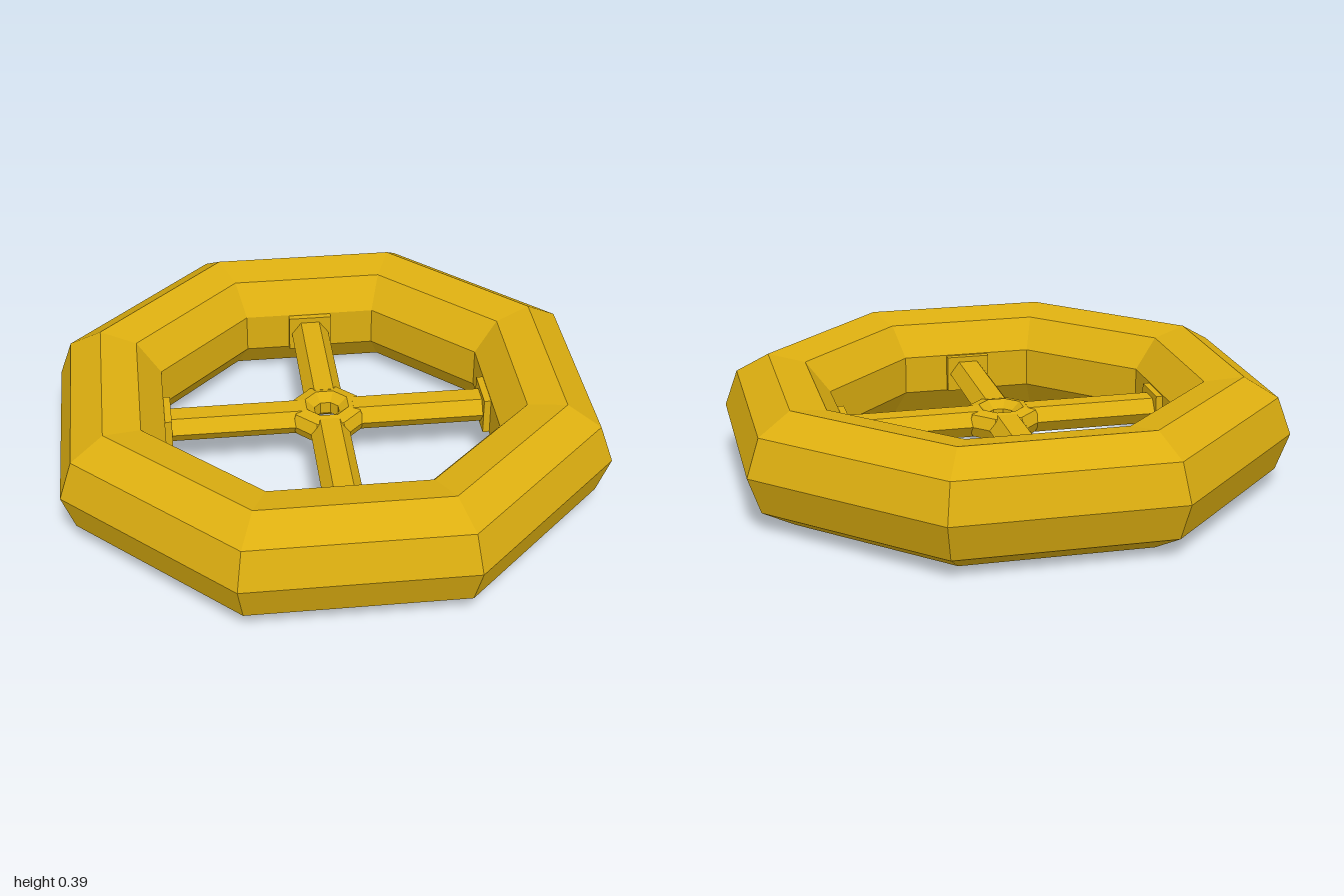
import * as THREE from 'three';

export function createModel() {
  const model = new THREE.Group();
  model.name = 'handwheel';
  const paint = new THREE.MeshStandardMaterial({ color: 0xdcae10, flatShading: true });
  paint.name = 'yellow paint';
  const midY = 0.197;

  const add = (parent, geometry, name) => {
    const mesh = new THREE.Mesh(geometry, paint);
    mesh.name = name;
    parent.add(mesh);
    return mesh;
  };

  // Faceted ring lying flat, with its first corner on the x axis
  const ring = (radius, tube, sides, name) => {
    const geometry = new THREE.TorusGeometry(radius, tube, sides, 8).rotateX(Math.PI / 2);
    add(model, geometry, name).position.y = midY;
  };
  ring(0.8, 0.2, 9, 'rim');
  ring(0.09, 0.05, 7, 'hub');

  // Flattened six-sided spokes, each with a foot against the rim
  const inner = 0.09, outer = 0.62;
  const spokeGeometry = new THREE.CylinderGeometry(0.068, 0.068, outer - inner, 6)
    .rotateZ(-Math.PI / 2)
    .scale(1, 0.77, 1)
    .translate((inner + outer) / 2, 0, 0);
  const footGeometry = new THREE.BoxGeometry(0.07, 0.13, 0.155).translate(0.577, 0, 0);

  for (let i = 0; i < 4; i++) {
    const arm = new THREE.Group();
    arm.name = 'spokeArm';
    arm.position.y = midY;
    arm.rotation.y = Math.PI / 8 + i * Math.PI / 2;
    add(arm, spokeGeometry, 'spoke');
    add(arm, footGeometry, 'spokeFoot');
    model.add(arm);
  }
  return model;
}
